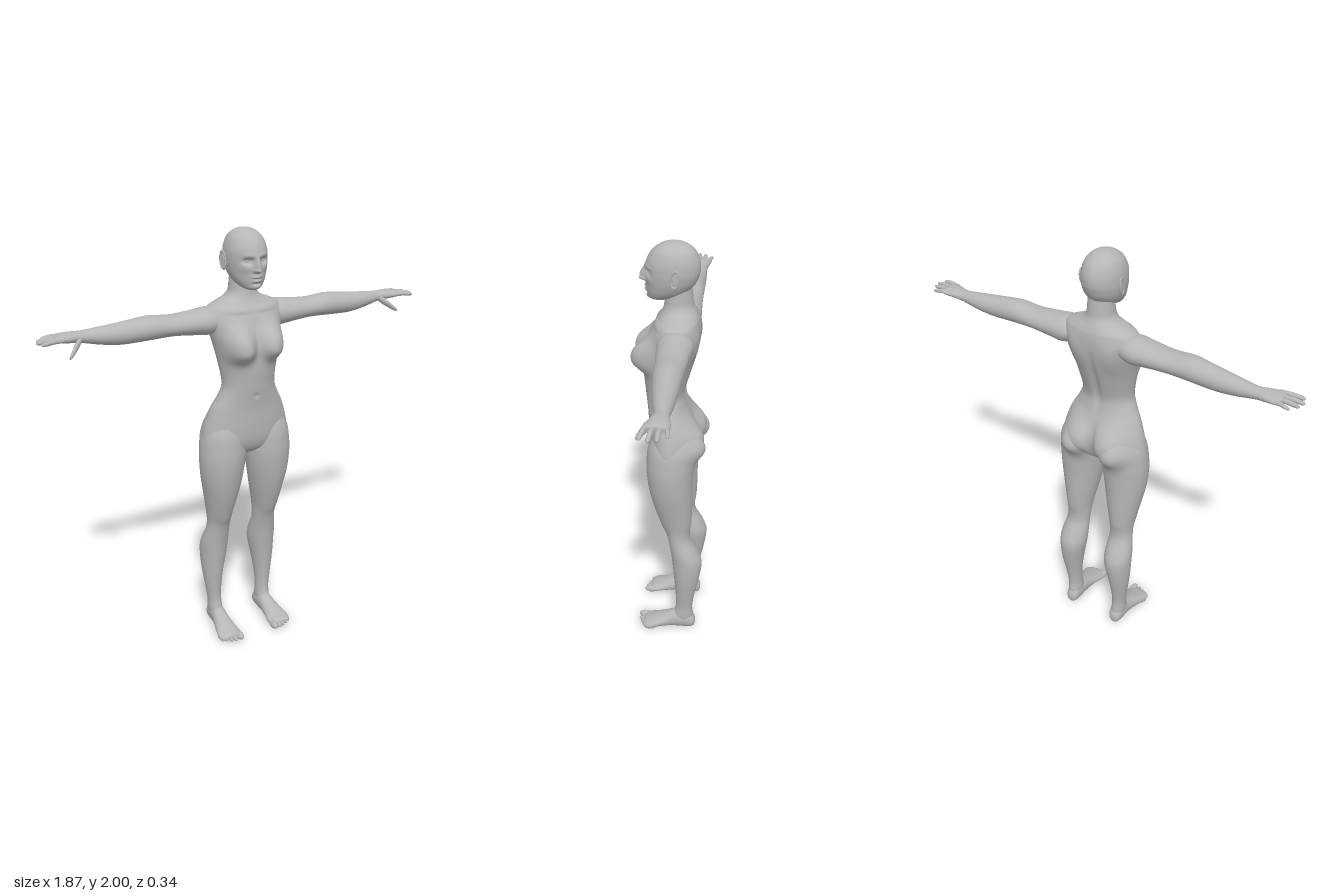
import * as THREE from 'three';

const skin = new THREE.MeshStandardMaterial({ color: 0xb6b6b6 });
skin.name = 'plain grey';

// Smooth interpolation through a list of rows, t from 0 to 1
function sampleRows(rows, t) {
  const f = t * (rows.length - 1);
  const i = Math.min(Math.floor(f), rows.length - 2);
  const k = f - i;
  const at = (j) => rows[Math.max(0, Math.min(rows.length - 1, j))];
  return rows[0].map((_, c) => {
    const a = at(i - 1)[c], b = at(i)[c], d = at(i + 1)[c], e = at(i + 2)[c];
    return b + 0.5 * k * (d - a + k * (2 * a - 5 * b + 4 * d - e + k * (3 * (b - d) + e - a)));
  });
}

// Soft swellings and hollows: [x, y, width, reach up, reach down, amount, side]
function sculpt(p, bumps) {
  const z0 = p.z;
  for (const [cx, cy, sx, up, down, amount, side] of bumps) {
    const dx = (Math.abs(p.x) - cx) / sx;
    const dy = (p.y - cy) / (p.y > cy ? up : down);
    const facing = THREE.MathUtils.smoothstep(z0 * side, -0.01, 0.06);
    p.z += side * amount * facing * Math.exp(-Math.pow(dx * dx + dy * dy, 1.4));
  }
}

// Skin over oval cross-sections. Each row: [position on axis, uMin, uMax, vMin, vMax]
function loft(axis, rows, { around = 32, along = 48, bumps = [], mirror = false } = {}) {
  const pts = [], index = [];
  const put = (t, u, v) => {
    const p = axis === 'y' ? new THREE.Vector3(u, t, v)
      : axis === 'x' ? new THREE.Vector3(t, u, v) : new THREE.Vector3(u, v, t);
    sculpt(p, bumps);
    if (mirror) p.x = -p.x;
    pts.push(p);
  };
  for (let i = 0; i <= along; i++) {
    const [t, u0, u1, v0, v1] = sampleRows(rows, i / along);
    for (let j = 0; j < around; j++) {
      const a = (j / around) * Math.PI * 2;
      put(t, (u0 + u1) / 2 + Math.cos(a) * (u1 - u0) / 2, (v0 + v1) / 2 + Math.sin(a) * (v1 - v0) / 2);
    }
  }
  for (let i = 0; i < along; i++) for (let j = 0; j < around; j++) {
    const a = i * around + j, b = i * around + (j + 1) % around;
    index.push(a, a + around, b, b, a + around, b + around);
  }
  for (const [row, ring] of [[rows[0], 0], [rows[rows.length - 1], along]]) {
    put(row[0], (row[1] + row[2]) / 2, (row[3] + row[4]) / 2);
    for (let j = 0; j < around; j++) {
      const a = ring * around + j, b = ring * around + (j + 1) % around;
      if (ring) index.push(a, pts.length - 1, b); else index.push(a, b, pts.length - 1);
    }
  }
  // Turn the faces outward
  let volume = 0;
  const n = new THREE.Vector3();
  for (let i = 0; i < index.length; i += 3) {
    volume += pts[index[i]].dot(n.crossVectors(pts[index[i + 1]], pts[index[i + 2]]));
  }
  if (volume < 0) index.reverse();
  const g = new THREE.BufferGeometry().setFromPoints(pts);
  g.setIndex(index);
  g.computeVertexNormals();
  return g;
}

// Rows for a round digit running along x from [x, y, z, radius] points
const digit = (path) => path.map(([x, y, z, r]) => [x, y - r, y + r, z - r, z + r]);
const symmetric = (rows) => rows.map(([y, w, back, front]) => [y, -w, w, back, front]);

const bodyBumps = [
  [0.085, 1.5, 0.066, 0.085, 0.062, 0.074, 1],    // bust
  [0.092, 1.085, 0.085, 0.1, 0.075, 0.055, -1],   // seat
  [0, 1.07, 0.014, 0.09, 0.08, -0.025, -1],       // cleft
  [0, 1.38, 0.02, 0.2, 0.13, -0.012, -1],         // spine
  [0, 1.27, 0.01, 0.012, 0.01, -0.008, 1],        // navel
  [0.07, 1.655, 0.06, 0.012, 0.012, 0.006, 1],    // collarbones
  [0.1, 1.57, 0.05, 0.06, 0.08, 0.01, -1],        // shoulder blades
  [0.122, 0.6, 0.035, 0.04, 0.04, 0.008, 1],      // kneecap
];
const faceBumps = [
  [0, 1.838, 0.013, 0.045, 0.012, 0.028, 1],      // nose
  [0.011, 1.834, 0.009, 0.009, 0.007, 0.009, 1],  // nostrils
  [0.036, 1.874, 0.022, 0.013, 0.016, -0.015, 1], // eye sockets
  [0.03, 1.897, 0.03, 0.012, 0.008, 0.004, 1],    // brows
  [0.05, 1.845, 0.02, 0.018, 0.018, 0.005, 1],    // cheeks
  [0, 1.806, 0.022, 0.008, 0.006, 0.008, 1],      // upper lip
  [0, 1.79, 0.019, 0.006, 0.008, 0.009, 1],       // lower lip
  [0, 1.776, 0.022, 0.006, 0.006, -0.004, 1],     // under the lip
  [0, 1.76, 0.022, 0.012, 0.01, 0.006, 1],        // chin
];

export function createModel() {
  const model = new THREE.Group();
  model.name = 'figure';
  const add = (parent, name, geometry) => {
    const m = new THREE.Mesh(geometry, skin);
    m.name = name;
    parent.add(m);
    return m;
  };

  // Neck and trunk: height, half width, back, front
  add(model, 'torso', loft('y', symmetric([
    [1.82, 0.055, -0.082, 0.02], [1.76, 0.06, -0.089, 0.031], [1.725, 0.066, -0.094, 0.036],
    [1.7, 0.088, -0.105, 0.043], [1.68, 0.135, -0.114, 0.053], [1.66, 0.172, -0.121, 0.066],
    [1.62, 0.188, -0.126, 0.085], [1.56, 0.172, -0.123, 0.104], [1.5, 0.156, -0.112, 0.115],
    [1.42, 0.141, -0.089, 0.127], [1.32, 0.127, -0.063, 0.12], [1.26, 0.146, -0.07, 0.113],
    [1.2, 0.178, -0.088, 0.107], [1.12, 0.206, -0.106, 0.105], [1.05, 0.217, -0.1, 0.099],
    [1.0, 0.19, -0.08, 0.08], [0.97, 0.11, -0.05, 0.045],
  ]), { around: 80, along: 130, bumps: bodyBumps }));

  // Skull and face
  const head = new THREE.Group();
  head.name = 'head';
  model.add(head);
  add(head, 'skull', loft('y', symmetric([
    [2.0, 0.004, -0.01, 0.002], [1.996, 0.028, -0.04, 0.026], [1.984, 0.052, -0.07, 0.056],
    [1.96, 0.075, -0.098, 0.087], [1.92, 0.089, -0.116, 0.11], [1.88, 0.092, -0.119, 0.115],
    [1.85, 0.09, -0.112, 0.113], [1.82, 0.084, -0.098, 0.112], [1.79, 0.072, -0.07, 0.111],
    [1.77, 0.058, -0.035, 0.108], [1.755, 0.042, 0.005, 0.102], [1.745, 0.018, 0.045, 0.085],
  ]), { around: 128, along: 120, bumps: faceBumps }));

  for (const s of [1, -1]) {
    const side = s > 0 ? 'left' : 'right';
    const mirror = s < 0;

    const eye = add(head, side + 'Eye', new THREE.SphereGeometry(0.013, 20, 14));
    eye.position.set(s * 0.035, 1.873, 0.082);
    eye.scale.set(1.1, 0.6, 0.8);

    // Ear: flat shell with a raised rim
    const ear = new THREE.Group();
    ear.name = side + 'Ear';
    ear.position.set(s * 0.093, 1.866, -0.022);
    ear.rotation.set(-0.15, s * -0.25, 0);
    head.add(ear);
    add(ear, 'earShell', new THREE.SphereGeometry(1, 16, 12)).scale.set(0.007, 0.038, 0.02);
    const rim = add(ear, 'earRim', new THREE.TorusGeometry(0.018, 0.004, 8, 28));
    rim.rotation.y = Math.PI / 2;
    rim.scale.y = 2;
    rim.position.x = s * 0.004;

    // Arm and palm: reach, bottom, top, back, front
    add(model, side + 'Arm', loft('x', [
      [0.1, 1.57, 1.65, -0.09, 0.03], [0.17, 1.545, 1.666, -0.11, 0.045], [0.24, 1.55, 1.659, -0.106, 0.04],
      [0.34, 1.558, 1.651, -0.1, 0.03], [0.44, 1.555, 1.659, -0.097, 0.025], [0.5, 1.552, 1.654, -0.095, 0.018],
      [0.58, 1.551, 1.645, -0.092, 0.008], [0.66, 1.561, 1.637, -0.089, -0.006],
      [0.74, 1.578, 1.63, -0.084, -0.022], [0.79, 1.586, 1.631, -0.092, -0.01],
      [0.835, 1.593, 1.628, -0.099, 0.002], [0.855, 1.6, 1.622, -0.092, -0.006],
    ], { around: 36, along: 70, mirror }));

    // Fingers from front to back, then the thumb
    const hand = new THREE.Group();
    hand.name = side + 'Hand';
    model.add(hand);
    const fingers = [[-0.009, 0.004, 0.922], [-0.034, -0.029, 0.935], [-0.06, -0.06, 0.925], [-0.086, -0.094, 0.9]];
    fingers.forEach(([z0, z1, tip], i) => {
      const r = i === 3 ? 0.009 : 0.0105;
      const mid = (0.82 + tip) / 2;
      add(hand, 'finger' + (i + 1), loft('x', digit([
        [0.82, 1.611, z0, r], [mid, 1.612, (z0 + z1) / 2, r], [tip - 0.015, 1.608, z1, r * 0.85],
        [tip - 0.003, 1.607, z1, r * 0.5], [tip, 1.607, z1, 0.001],
      ]), { around: 12, along: 20, mirror }));
    });
    add(hand, 'thumb', loft('x', digit([
      [0.745, 1.6, -0.035, 0.014], [0.775, 1.578, -0.008, 0.017], [0.8, 1.557, 0.016, 0.012],
      [0.814, 1.546, 0.026, 0.008], [0.819, 1.542, 0.029, 0.001],
    ]), { around: 14, along: 24, mirror }));

    // Leg: height, inside, outside, back, front
    add(model, side + 'Leg', loft('y', [
      [1.17, 0.05, 0.165, -0.06, 0.06], [1.08, 0.012, 0.213, -0.108, 0.096], [1.0, 0.004, 0.226, -0.116, 0.105],
      [0.94, 0.009, 0.228, -0.113, 0.105], [0.85, 0.023, 0.221, -0.11, 0.094], [0.76, 0.04, 0.205, -0.11, 0.074],
      [0.66, 0.06, 0.188, -0.107, 0.042], [0.6, 0.066, 0.181, -0.1, 0.016], [0.55, 0.068, 0.185, -0.106, 0.003],
      [0.48, 0.064, 0.198, -0.143, -0.01], [0.42, 0.067, 0.2, -0.161, -0.017], [0.32, 0.085, 0.194, -0.149, -0.027],
      [0.22, 0.1, 0.181, -0.129, -0.035], [0.14, 0.104, 0.171, -0.119, -0.036],
      [0.08, 0.101, 0.17, -0.124, -0.022], [0.03, 0.105, 0.163, -0.12, -0.02],
    ], { around: 48, along: 110, bumps: bodyBumps, mirror }));

    // Foot: length, inside, outside, sole, top
    const foot = new THREE.Group();
    foot.name = side + 'Foot';
    model.add(foot);
    add(foot, 'footBody', loft('z', [
      [-0.134, 0.125, 0.143, 0.025, 0.05], [-0.126, 0.109, 0.159, 0.008, 0.072], [-0.1, 0.1, 0.168, 0, 0.1],
      [-0.04, 0.098, 0.172, 0, 0.106], [0, 0.095, 0.179, 0.003, 0.088], [0.05, 0.089, 0.191, 0.002, 0.066],
      [0.09, 0.082, 0.199, 0, 0.049], [0.115, 0.084, 0.195, 0.002, 0.04], [0.13, 0.1, 0.18, 0.01, 0.03],
    ], { around: 32, along: 40, mirror }));
    const toes = [[0.098, 0.159, 0.017], [0.125, 0.156, 0.012], [0.147, 0.148, 0.0115], [0.167, 0.138, 0.011], [0.185, 0.126, 0.0105]];
    toes.forEach(([x, tip, r], i) => {
      const toe = add(foot, 'toe' + (i + 1), new THREE.SphereGeometry(1, 16, 12));
      toe.scale.set(r, r * 1.05, 0.032);
      toe.position.set(s * x, r * 1.05 + 0.002, tip - 0.032);
    });
  }
  return model;
}
